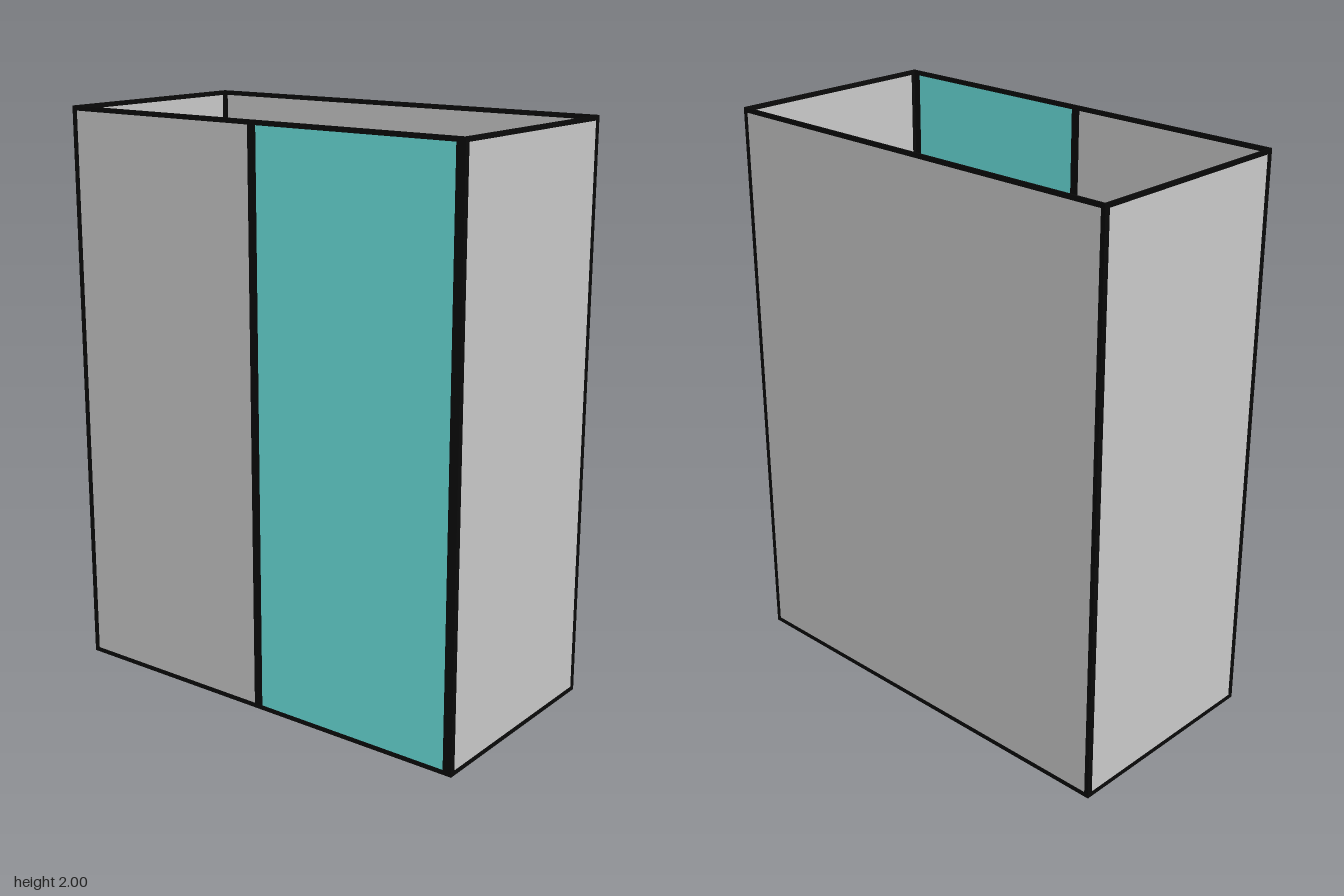
import * as THREE from 'three';

const grey = new THREE.MeshStandardMaterial({ color: 0xcccccc });
const black = new THREE.MeshStandardMaterial({ color: 0x0a0a0a });
const teal = new THREE.MeshStandardMaterial({ color: 0x6ce6e2 });

function add(parent, name, geometry, material, x = 0, y = 0, z = 0) {
  const mesh = new THREE.Mesh(geometry, material);
  mesh.name = name;
  mesh.position.set(x, y, z);
  parent.add(mesh);
  return mesh;
}

const box = (w, h, d) => new THREE.BoxGeometry(w, h, d);

// One framed pane in the xy plane, standing on y = 0 and centred on x = 0
function framedPane(name, width, material, leftBar = 0.016, rightBar = 0.016) {
  const g = new THREE.Group();
  const H = 2, rail = 0.016, depth = 0.006;
  g.name = name;
  add(g, 'pane', box(width - leftBar - rightBar, H - 2 * rail, 0.003), material, (leftBar - rightBar) / 2, H / 2, 0);
  add(g, 'leftBar', box(leftBar, H, depth), black, (leftBar - width) / 2, H / 2, 0);
  add(g, 'rightBar', box(rightBar, H, depth), black, (width - rightBar) / 2, H / 2, 0);
  for (const y of [rail / 2, H - rail / 2])
    add(g, y < 1 ? 'bottomRail' : 'topRail', box(width - leftBar - rightBar, rail, depth), black, (leftBar - rightBar) / 2, y, 0);
  return g;
}

// Smooth pipe through a list of points, with bends rounded by radius
function pipe(points, radius, bend) {
  const p = points.map((a) => new THREE.Vector3(...a));
  const path = new THREE.CurvePath();
  let start = p[0];
  for (let i = 1; i < p.length - 1; i++) {
    const a = p[i].clone().add(p[i - 1].clone().sub(p[i]).setLength(bend));
    const b = p[i].clone().add(p[i + 1].clone().sub(p[i]).setLength(bend));
    path.add(new THREE.LineCurve3(start, a));
    path.add(new THREE.QuadraticBezierCurve3(a, p[i], b));
    start = b;
  }
  path.add(new THREE.LineCurve3(start, p[p.length - 1]));
  return new THREE.TubeGeometry(path, 120, radius, 16, false);
}

// Flat square plate with rounded corners, lying in the xz plane
function roundedPlate(size, radius, thickness) {
  const s = size / 2, r = radius;
  const shape = new THREE.Shape();
  shape.absarc(s - r, s - r, r, 0, Math.PI / 2);
  shape.absarc(r - s, s - r, r, Math.PI / 2, Math.PI);
  shape.absarc(r - s, r - s, r, Math.PI, Math.PI * 1.5);
  shape.absarc(s - r, r - s, r, Math.PI * 1.5, Math.PI * 2);
  return new THREE.ExtrudeGeometry(shape, { depth: thickness, bevelEnabled: false, curveSegments: 8 }).rotateX(-Math.PI / 2);
}

function showerSet() {
  const g = new THREE.Group();
  g.name = 'showerSet';
  const z = -0.085, wallX = -0.747, shelfY = 1;

  // Mixer body with its flat shelf top
  add(g, 'mixerShelf', box(0.076, 0.06, 0.364), black, -0.745, shelfY, -0.025);
  add(g, 'riserMount', box(0.042, 0.04, 0.09), grey, -0.741, shelfY + 0.05, z);

  // Control knobs on the front of the mixer
  for (const dz of [-0.055, 0.055]) {
    const knob = new THREE.CylinderGeometry(0.027, 0.024, 0.034, 24).rotateZ(-Math.PI / 2);
    add(g, 'knob', knob, grey, -0.691, shelfY, z + dz);
  }

  // Riser, overhead arm and rain head
  add(g, 'riserArm', pipe([[wallX, shelfY + 0.03, z], [wallX, 1.765, z], [-0.42, 1.765, z], [-0.42, 1.72, z]], 0.014, 0.03), grey);
  add(g, 'headCollar', new THREE.CylinderGeometry(0.018, 0.022, 0.02, 24), grey, -0.42, 1.727, z);
  add(g, 'rainHead', roundedPlate(0.213, 0.04, 0.012), grey, -0.426, 1.708, z);

  // Hand shower, its holder and hose
  add(g, 'handsetHolder', box(0.018, 0.05, 0.05), black, wallX, 1.3, -0.015 - 0.03);
  add(g, 'handset', new THREE.CylinderGeometry(0.011, 0.009, 0.2, 16), black, wallX, 1.32, -0.012);
  const hose = new THREE.CatmullRomCurve3([
    [wallX, 1.22, -0.012], [-0.73, 1.12, 0.03], [-0.692, 0.9, 0.08],
    [-0.687, 0.62, 0.07], [-0.7, 0.75, 0.02], [-0.715, 0.97, 0],
  ].map((a) => new THREE.Vector3(...a)));
  add(g, 'hose', new THREE.TubeGeometry(hose, 80, 0.006, 10), grey);
  return g;
}

export function createModel() {
  const model = new THREE.Group();
  model.name = 'showerEnclosure';
  const X = 0.786, Z = 0.3935, t = 0.003;

  // Back wall and both end walls
  const back = framedPane('backWall', 2 * X, grey);
  back.position.z = -Z + t;
  model.add(back);
  for (const side of [-1, 1]) {
    const end = framedPane(side > 0 ? 'leftWall' : 'rightWall', 2 * Z - 4 * t, grey, 0.013, 0.013);
    end.rotation.y = side * Math.PI / 2;
    end.position.x = side * (X - t);
    model.add(end);
  }

  // Front: fixed panel and coloured door
  const fixed = framedPane('fixedFrontPanel', X, grey, 0.019, 0.016);
  fixed.position.set(-X / 2, 0, Z - t);
  const door = framedPane('door', X, teal, 0.016, 0.032);
  door.position.set(X / 2, 0, Z - t);
  model.add(fixed, door, showerSet());
  return model;
}
